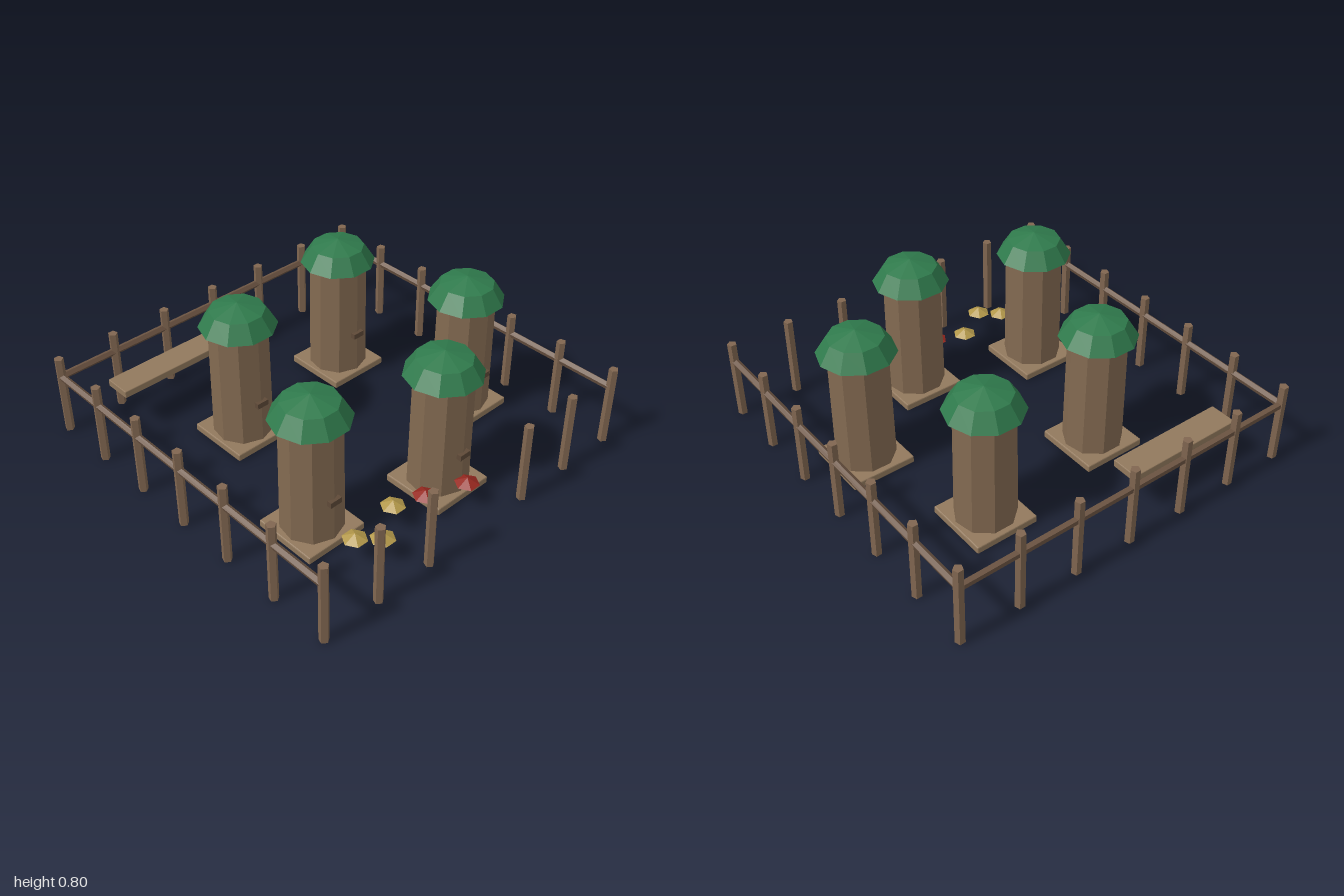
import * as THREE from 'three';
import { RoundedBoxGeometry } from 'three/addons/geometries/RoundedBoxGeometry.js';

const paint = (color, side = THREE.FrontSide) =>
  new THREE.MeshStandardMaterial({ color, flatShading: true, side });

const wood = paint(0x836a51);
const plankWood = paint(0x92795d);
const darkWood = paint(0x5f4a38);
const fenceWood = paint(0x806650);
const railWood = paint(0x6c5442);
const green = paint(0x2f7a4c, THREE.DoubleSide);
const red = paint(0x96281f);
const yellow = paint(0xb3984a);

function add(parent, name, geometry, material, x, y, z) {
  const mesh = new THREE.Mesh(geometry, material);
  mesh.name = name;
  mesh.position.set(x, y, z);
  parent.add(mesh);
  return mesh;
}

// Low-poly solids shared by the repeated parts
const slabGeo = new RoundedBoxGeometry(0.35, 0.04, 0.35, 1, 0.006);
const trunkGeo = new THREE.CylinderGeometry(0.15, 0.156, 0.66, 9);
const roofGeo = new THREE.SphereGeometry(0.197, 10, 2, 0, Math.PI * 2, 0, Math.PI / 2).scale(1, 0.645, 1);
const entranceGeo = new THREE.BoxGeometry(0.066, 0.03, 0.05);
const postGeo = new THREE.CylinderGeometry(0.025, 0.025, 0.445, 5);
const blossomGeo = new THREE.SphereGeometry(0.063, 6, 2).scale(1, 0.51, 1);

// Log hive: slab, nine-sided trunk, faceted dome and small entrance block
function makeHive(x, z) {
  const hive = new THREE.Group();
  hive.name = 'hive';
  hive.position.set(x, 0, z);
  add(hive, 'hiveBase', slabGeo, plankWood, 0, 0.022, 0);
  add(hive, 'hiveTrunk', trunkGeo, wood, 0, 0.365, 0);
  add(hive, 'hiveRoof', roofGeo, green, 0, 0.669, 0);
  add(hive, 'hiveEntrance', entranceGeo, darkWood, 0, 0.27, 0.143);
  return hive;
}

// Fence: posts on all four sides, rails on three, with a gap at the front
function makeFence() {
  const fence = new THREE.Group();
  fence.name = 'fence';
  const edge = 0.975;
  const step = edge / 3;
  for (let i = -3; i <= 3; i++) {
    for (let j = -3; j <= 3; j++) {
      const onBorder = Math.abs(i) === 3 || Math.abs(j) === 3;
      const isGate = i === 0 && j === 3;
      if (onBorder && !isGate) add(fence, 'fencePost', postGeo, fenceWood, i * step, 0.2225, j * step);
    }
  }
  const railGeo = new THREE.CylinderGeometry(0.02, 0.02, 2 * edge, 5);
  add(fence, 'backRail', railGeo, railWood, 0, 0.334, -edge).rotation.z = Math.PI / 2;
  for (const side of [-1, 1]) {
    add(fence, side > 0 ? 'leftRail' : 'rightRail', railGeo, railWood, side * edge, 0.334, 0).rotation.x = -Math.PI / 2;
  }
  return fence;
}

export function createModel() {
  const model = new THREE.Group();
  model.name = 'apiary';
  model.add(makeFence());

  const hives = [[-0.33, -0.335], [0.44, -0.445], [0.66, 0.262], [-0.555, 0.437], [0.11, 0.617]];
  for (const [x, z] of hives) model.add(makeHive(x, z));

  // Raised plank along the back fence
  add(model, 'plank', new RoundedBoxGeometry(0.66, 0.04, 0.15, 1, 0.004), plankWood, -0.44, 0.245, -0.8);

  // Blossoms near the front hives
  const blossoms = [
    [-0.55, 0.72, yellow], [-0.456, 0.805, yellow], [-0.27, 0.685, yellow],
    [-0.11, 0.74, red], [0.1, 0.815, red],
  ];
  for (const [x, z, color] of blossoms) add(model, 'blossom', blossomGeo, color, x, 0.129, z);

  return model;
}
